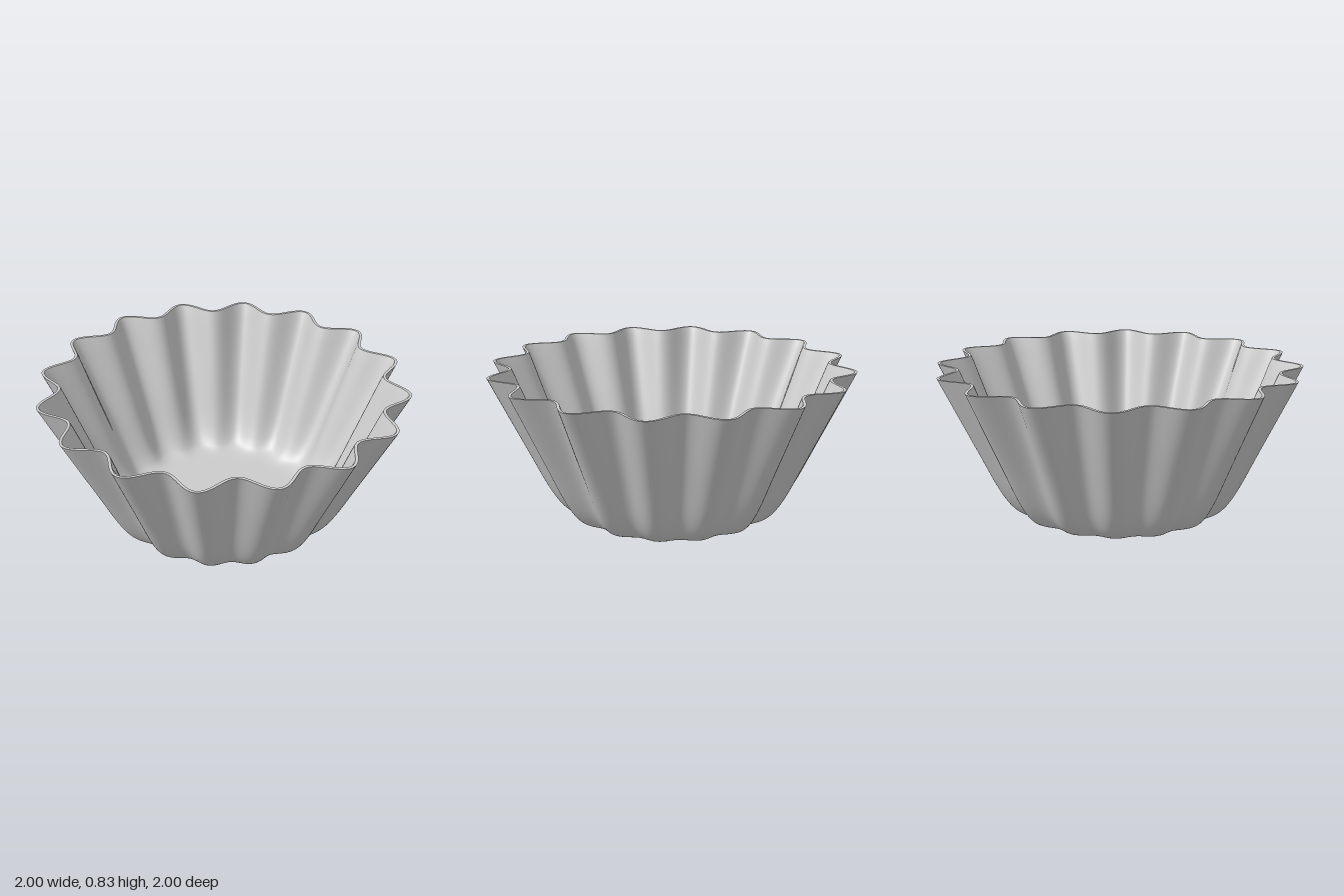
import * as THREE from 'three';

const LOBES = 16, AROUND = 320, ROWS = 44;
const HEIGHT = 0.83, THICK = 0.016, FLOOR_R = 0.44, TIP_R = 1.02, FLUTE = 0.06;

// Outer profile through the lobe tips: radius, height
const profile = new THREE.CatmullRomCurve3([
  [FLOOR_R, 0], [0.5, 0.003], [0.55, 0.012], [0.595, 0.032], [0.635, 0.068],
  [0.675, 0.122], [0.722, 0.205], [0.815, 0.4], [0.92, 0.62], [TIP_R, HEIGHT],
].map(([r, y]) => new THREE.Vector3(r, y, 0)), false, 'centripetal');

// Point on the fluted outer surface; the flutes fade out toward the floor
function outerPoint(t, angle) {
  const p = profile.getPoint(THREE.MathUtils.clamp(t, 0, 1));
  const depth = FLUTE * (p.x - FLOOR_R) / (TIP_R - FLOOR_R);
  const r = p.x - depth * (1 + Math.cos(LOBES * angle));
  return new THREE.Vector3(r * Math.sin(angle), p.y, r * Math.cos(angle));
}

// Outer surface moved inward along its normal by the wall thickness
function innerPoint(t, angle) {
  if (t === 0) return outerPoint(0, angle).setY(THICK);
  const e = 0.002;
  const du = outerPoint(t, angle + e).sub(outerPoint(t, angle - e));
  const dv = outerPoint(t + e, angle).sub(outerPoint(t - e, angle));
  const p = outerPoint(t, angle).addScaledVector(du.cross(dv).normalize(), -THICK);
  p.y = Math.min(p.y, HEIGHT);
  return p;
}

// Closed ring of quads between rows of points
function ringSurface(rows, pointAt, flip = false) {
  const pos = [], index = [];
  for (let j = 0; j <= rows; j++) {
    for (let i = 0; i < AROUND; i++) {
      pos.push(...pointAt(j / rows, i / AROUND * Math.PI * 2).toArray());
    }
  }
  for (let j = 0; j < rows; j++) {
    for (let i = 0; i < AROUND; i++) {
      const n = (i + 1) % AROUND;
      const a = j * AROUND + i, b = j * AROUND + n, c = b + AROUND, d = a + AROUND;
      if (flip) index.push(a, c, b, a, d, c);
      else index.push(a, b, c, a, c, d);
    }
  }
  const geo = new THREE.BufferGeometry();
  geo.setAttribute('position', new THREE.Float32BufferAttribute(pos, 3));
  geo.setIndex(index);
  geo.computeVertexNormals();
  return geo;
}

export function createModel() {
  const group = new THREE.Group();
  group.name = 'flutedBowl';
  const material = new THREE.MeshStandardMaterial({ color: 0xcccccc });
  const add = (name, geo) => {
    const mesh = new THREE.Mesh(geo, material);
    mesh.name = name;
    group.add(mesh);
  };

  // Fluted walls
  add('outerWall', ringSurface(ROWS, outerPoint));
  add('innerWall', ringSurface(ROWS, innerPoint, true));

  // Flat lip joining the two walls
  add('rim', ringSurface(1, (t, a) => (t === 0 ? outerPoint(1, a) : innerPoint(1, a))));

  // Round floor and underside
  add('floor', new THREE.CircleGeometry(FLOOR_R, AROUND).rotateX(-Math.PI / 2).translate(0, THICK, 0));
  add('base', new THREE.CircleGeometry(FLOOR_R, AROUND).rotateX(Math.PI / 2));

  return group;
}
